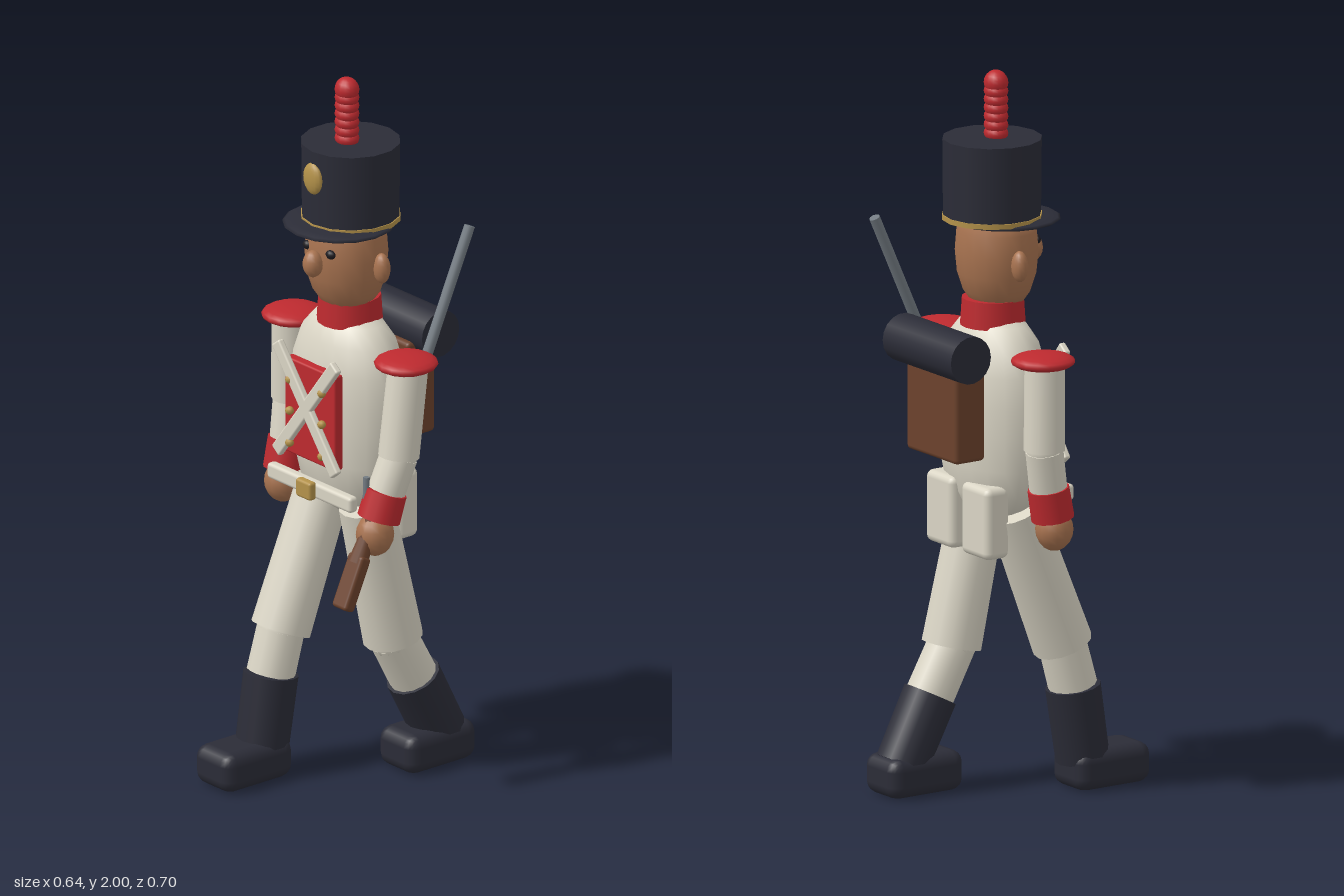
import * as THREE from 'three';
import { RoundedBoxGeometry } from 'three/addons/geometries/RoundedBoxGeometry.js';

const paint = (name, color) => {
  const m = new THREE.MeshStandardMaterial({ color });
  m.name = name;
  return m;
};

export function createModel() {
  const navy = paint('navy', 0x2b2c37);
  const red = paint('red', 0xbe2a2f);
  const cream = paint('cream', 0xdad5c5);
  const skin = paint('skin', 0xa87350);
  const brown = paint('brown', 0x6c422c);
  const gold = paint('gold', 0xb4924a);
  const steel = paint('steel', 0x737b82);
  const black = paint('black', 0x1d1b20);

  const model = new THREE.Group();
  model.name = 'marchingSoldier';
  const V = (a) => new THREE.Vector3(...a);

  const add = (name, geometry, material, pos = [0, 0, 0]) => {
    const mesh = new THREE.Mesh(geometry, material);
    mesh.name = name;
    mesh.position.set(...pos);
    model.add(mesh);
    return mesh;
  };
  const ball = (name, mat, pos, size, seg = 14) => {
    const mesh = add(name, new THREE.SphereGeometry(1, seg, 10), mat, pos);
    mesh.scale.set(...size);
    return mesh;
  };
  const box = (name, mat, pos, size, radius) =>
    add(name, new RoundedBoxGeometry(...size, 2, radius), mat, pos);
  // Round bar from point a (radius ra) to point b (radius rb)
  const bar = (name, mat, a, b, ra, rb = ra, seg = 14) => {
    const from = V(a), to = V(b), dir = to.clone().sub(from);
    const mesh = add(name, new THREE.CylinderGeometry(rb, ra, dir.length(), seg), mat,
      from.clone().add(to).multiplyScalar(0.5).toArray());
    mesh.quaternion.setFromUnitVectors(new THREE.Vector3(0, 1, 0), dir.normalize());
    return mesh;
  };
  const lathe = (name, mat, profile, z, depth) => {
    const points = profile.map(([r, y]) => new THREE.Vector2(r, y));
    const mesh = add(name, new THREE.LatheGeometry(points, 20), mat, [0, 0, z]);
    mesh.scale.z = depth;
    return mesh;
  };

  // Body
  lathe('torso', cream, [[0, 0.75], [0.06, 0.755], [0.12, 0.785], [0.165, 0.84], [0.187, 0.92],
    [0.195, 1.02], [0.195, 1.1], [0.187, 1.18], [0.16, 1.255], [0.115, 1.305], [0.06, 1.325], [0, 1.33]],
  -0.045, 0.64);
  add('collar', new THREE.CylinderGeometry(0.085, 0.09, 0.075, 16), red, [0, 1.335, -0.047]);
  box('chestPanel', red, [0, 1.057, 0.08], [0.21, 0.275, 0.03], 0.006);
  for (const s of [-1, 1]) {
    const strap = box('crossStrap', cream, [0, 1.075, 0.105], [0.038, 0.4, 0.02], 0.006);
    strap.rotation.z = s * 0.66;
    for (const y of [0.957, 1.05, 1.14]) ball('button', gold, [s * 0.067, y, 0.109], [0.012, 0.012, 0.012], 8);
  }
  box('belt', cream, [0, 0.842, 0.085], [0.35, 0.045, 0.03], 0.01);
  box('beltBuckle', gold, [0, 0.843, 0.108], [0.062, 0.052, 0.025], 0.008);

  // Head and face
  lathe('head', skin, [[0, 1.345], [0.07, 1.352], [0.098, 1.39], [0.115, 1.44], [0.121, 1.5],
    [0.116, 1.56], [0.1, 1.605], [0, 1.61]], -0.035, 0.9);
  ball('nose', skin, [0, 1.49, 0.083], [0.029, 0.038, 0.028]);
  for (const s of [-1, 1]) {
    ball('ear', skin, [s * 0.13, 1.482, -0.05], [0.026, 0.043, 0.022]);
    ball('eye', black, [s * 0.048, 1.525, 0.061], [0.016, 0.013, 0.012], 10);
  }

  // Hat
  add('hatCrown', new THREE.CylinderGeometry(0.136, 0.134, 0.215, 14), navy, [0, 1.708, -0.05]);
  add('hatBand', new THREE.CylinderGeometry(0.137, 0.137, 0.014, 14), gold, [0, 1.598, -0.05]);
  ball('hatVisor', navy, [0, 1.588, -0.01], [0.156, 0.016, 0.153], 16);
  ball('hatBadge', gold, [0, 1.737, 0.083], [0.036, 0.045, 0.016]);
  for (let i = 0; i < 7; i++) {
    ball('plumeTuft', red, [0, 1.825 + i * 0.0235, -0.037], [0.036, i === 6 ? 0.034 : 0.025, 0.032]);
  }

  // Arms, given as shoulder, elbow, cuff start, cuff end and hand
  const arms = [
    [[-0.24, 1.235, -0.045], [-0.245, 0.995, -0.05], [-0.235, 0.885, -0.03], [-0.235, 0.8, -0.015], [-0.232, 0.768, -0.008]],
    [[0.24, 1.235, -0.05], [0.242, 0.98, -0.015], [0.234, 0.885, 0.022], [0.23, 0.81, 0.046], [0.227, 0.768, 0.056]],
  ];
  for (const [shoulder, elbow, cuffTop, cuffEnd, hand] of arms) {
    ball('epaulette', red, [Math.sign(shoulder[0]) * 0.235, 1.241, -0.047], [0.087, 0.024, 0.088], 16);
    bar('upperArm', cream, shoulder, elbow, 0.055, 0.056);
    ball('elbow', cream, elbow, [0.05, 0.05, 0.05]);
    bar('forearm', cream, elbow, cuffTop, 0.052);
    bar('cuff', red, cuffTop, cuffEnd, 0.057, 0.059);
    ball('hand', skin, hand, [0.052, 0.06, 0.052]);
  }

  // Legs, given as hip, knee, boot top, ankle and foot centre
  const legs = [
    [[-0.105, 0.8, -0.05], [-0.105, 0.405, 0.108], [-0.108, 0.285, 0.14], [-0.108, 0.08, 0.172], [-0.108, 0.056, 0.235]],
    [[0.105, 0.8, -0.015], [0.105, 0.39, -0.11], [0.108, 0.262, -0.178], [0.108, 0.08, -0.272], [0.108, 0.056, -0.23]],
  ];
  for (const [hip, knee, bootTop, ankle, foot] of legs) {
    bar('thigh', cream, hip, knee, 0.076, 0.083);
    ball('knee', cream, knee, [0.066, 0.066, 0.066]);
    bar('shin', cream, knee, bootTop, 0.066, 0.067);
    bar('bootShaft', navy, bootTop, ankle, 0.076, 0.074);
    box('foot', navy, foot, [0.152, 0.112, 0.24], 0.035);
  }

  // Pack, bedroll and hip pouches
  box('backpack', brown, [0, 1.093, -0.202], [0.235, 0.277, 0.098], 0.012);
  bar('bedroll', navy, [-0.16, 1.253, -0.232], [0.16, 1.253, -0.232], 0.066, 0.066, 18);
  for (const s of [-1, 1]) box('hipPouch', cream, [s * 0.083, 0.78, -0.131], [0.13, 0.2, 0.078], 0.02);

  // Musket, leaning back along one line through the hand and shoulder
  const gun = (y, x = 0.228, dz = 0) => [x, y, -0.277 + (1.577 - y) * 0.45 + dz];
  bar('musketBarrel', steel, gun(1.0), gun(1.577), 0.015, 0.015, 10);
  bar('musketForestock', brown, gun(0.75), gun(1.23), 0.021, 0.021, 10);
  bar('musketRod', steel, gun(0.8, 0.207), gun(0.93, 0.207, 0.055), 0.009, 0.009, 8);
  bar('stockNeck', brown, gun(0.7), gun(0.79), 0.028, 0.018, 10);
  const butt = box('musketButt', brown, gun(0.65), [0.06, 0.155, 0.038], 0.01);
  butt.rotation.x = -Math.atan(0.45);

  return model;
}
